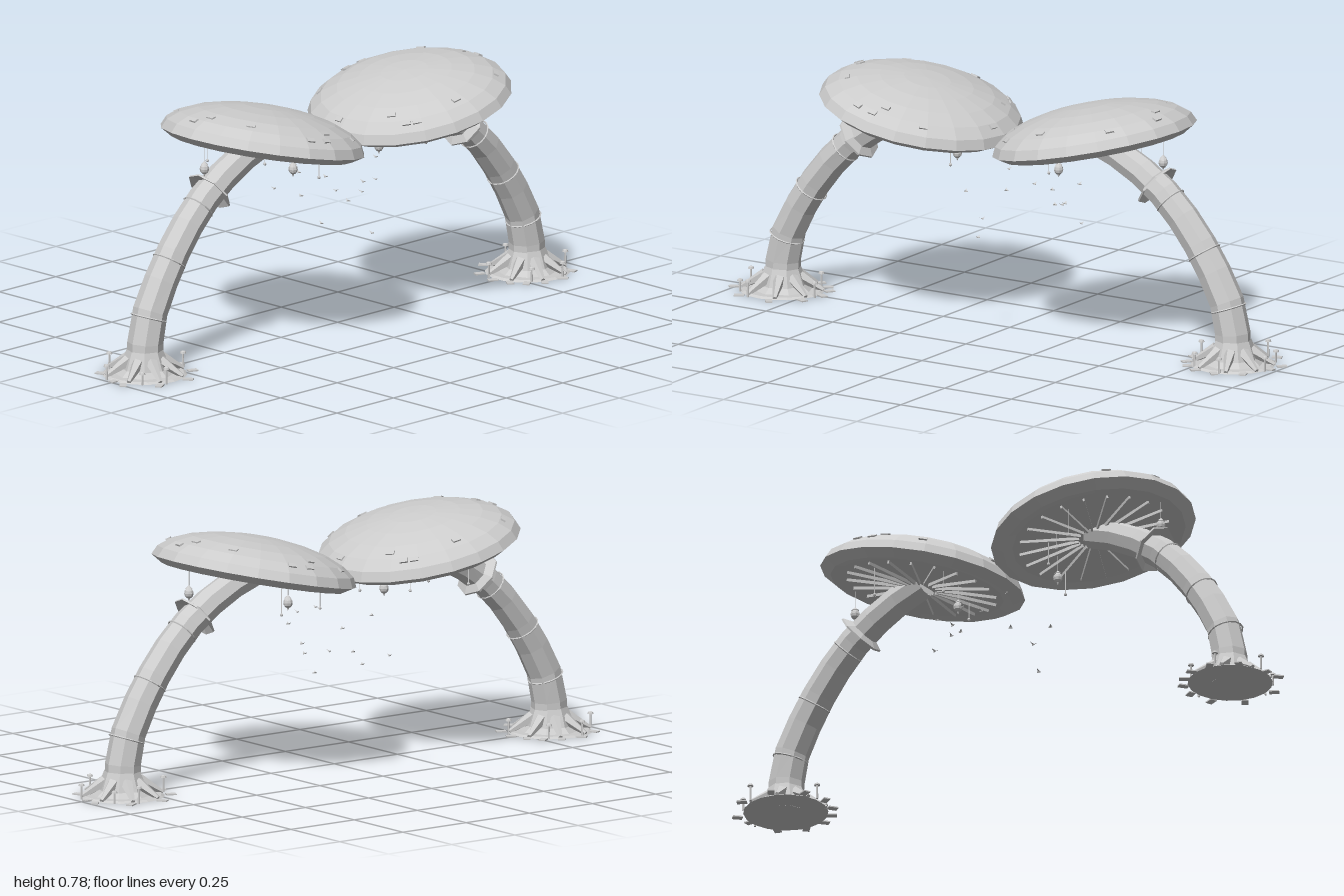
import * as THREE from 'three';

const grey = new THREE.MeshStandardMaterial({ color: 0xcccccc });
grey.name = 'pale grey';
const greyThin = new THREE.MeshStandardMaterial({ color: 0xcccccc, side: THREE.DoubleSide });
greyThin.name = 'pale grey thin';

// Faceted mesh, added to a parent
function add(parent, name, geometry, x = 0, y = 0, z = 0, material = grey) {
  const flat = geometry.index ? geometry.toNonIndexed() : geometry;
  flat.computeVertexNormals();
  const mesh = new THREE.Mesh(flat, material);
  mesh.name = name;
  mesh.position.set(x, y, z);
  parent.add(mesh);
  return mesh;
}
const lathe = (pairs, sides) =>
  new THREE.LatheGeometry(pairs.map(([r, y]) => new THREE.Vector2(r, y)), sides);
const V = (x, y, z = 0) => new THREE.Vector3(x, y, z);
const UP = V(0, 1, 0);
const TILT = 0.21;
const CAP = V(0.325, 0.655);
const BASE_X = 0.846;

// Curved, tapering stalk with bands and a skirt ring
function addStalk(g) {
  const curve = new THREE.CatmullRomCurve3([
    V(BASE_X, 0), V(0.845, 0.08), V(0.828, 0.18), V(0.73, 0.355),
    V(0.64, 0.465), V(0.555, 0.54), V(0.43, 0.612), V(0.32, 0.652)]);
  const rings = 9, sides = 8;
  const radius = t => 0.058 - 0.012 * t;
  const tube = new THREE.TubeGeometry(curve, rings, 1, sides);
  const pos = tube.attributes.position, p = V(0, 0);
  for (let i = 0; i < pos.count; i++) {
    const t = Math.floor(i / (sides + 1)) / rings;
    const c = curve.getPointAt(t);
    p.fromBufferAttribute(pos, i).sub(c).multiplyScalar(radius(t)).add(c);
    pos.setXYZ(i, p.x, p.y, p.z);
  }
  add(g, 'stalk', tube);
  const end = add(g, 'stalkEnd', new THREE.CircleGeometry(radius(1), sides), 0.32, 0.652);
  end.quaternion.setFromUnitVectors(V(0, 0, 1), curve.getTangentAt(1));

  for (const t of [0.2, 0.41, 0.63]) {
    const c = curve.getPointAt(t);
    const band = add(g, 'stalkBand', new THREE.TorusGeometry(radius(t), 0.0028, 4, 16), c.x, c.y);
    band.quaternion.setFromUnitVectors(V(0, 0, 1), curve.getTangentAt(t));
  }
  const ring = add(g, 'skirtRing',
    lathe([[0.045, 0.006], [0.078, -0.006], [0.078, 0], [0.045, 0.014]], 8), 0.557, 0.539);
  ring.material = greyThin;
  ring.quaternion.setFromUnitVectors(UP, V(-0.79, 0.61).normalize());
}

// Tilted cap with gills and raised plates
function addCap(g) {
  const cap = new THREE.Group();
  cap.name = 'cap';
  cap.position.copy(CAP);
  cap.rotation.z = TILT;
  g.add(cap);
  add(cap, 'capShell', lathe([
    [0, -0.012], [0.26, -0.015], [0.29, -0.022], [0.326, 0], [0.312, 0.03], [0.275, 0.058],
    [0.22, 0.081], [0.15, 0.098], [0.075, 0.108], [0, 0.111]], 20));
  for (let i = 0; i < 20; i++) {
    const a = (i + 0.5) * Math.PI / 10;
    const gill = add(cap, 'gill', new THREE.BoxGeometry(0.19, 0.012, 0.006),
      Math.cos(a) * 0.145, -0.018, Math.sin(a) * 0.145);
    gill.rotation.y = -a;
  }
  for (let i = 0; i < 13; i++) {
    const a = i * 2 * Math.PI / 13 + 0.35 * Math.sin(i * 5);
    const far = i % 3 > 0;
    const r = far ? 0.282 : 0.248, y = far ? 0.053 : 0.07;
    const spot = add(cap, 'capPlate', new THREE.BoxGeometry(0.016, 0.006, 0.027),
      Math.cos(a) * r, y, Math.sin(a) * r);
    spot.rotation.set(0, -a, far ? -0.6 : -0.4, 'YXZ');
  }
}

// String dropped from the underside of the cap
function addString(g, x, y, z) {
  const top = CAP.y - 0.012 + (x - CAP.x) * Math.tan(TILT);
  add(g, 'string', new THREE.CylinderGeometry(0.0013, 0.0013, top - y, 4), x, (top + y) / 2, z);
}
function addLantern(g, x, y) {
  addString(g, x, y, 0);
  const body = add(g, 'lantern', new THREE.SphereGeometry(0.015, 8, 6), x, y, 0);
  body.scale.y = 1.15;
  add(g, 'lanternLid', new THREE.ConeGeometry(0.012, 0.012, 8), x, y + 0.02, 0);
  add(g, 'lanternTip', new THREE.ConeGeometry(0.005, 0.012, 6), x, y - 0.02, 0).rotation.x = Math.PI;
}
function addBead(g, [x, y, z]) {
  addString(g, x, y, z);
  add(g, 'bead', new THREE.SphereGeometry(0.0055, 6, 4), x, y, z);
}

// Root flare, roots, ground disc, little mushrooms and stones
function addBase(g) {
  const base = new THREE.Group();
  base.name = 'base';
  base.position.x = BASE_X;
  g.add(base);
  const disc = new THREE.CylinderGeometry(0.124, 0.134, 0.006, 18);
  add(base, 'groundDisc', disc, 0, 0.003, 0);
  add(base, 'rootFlare',
    lathe([[0.1, 0.005], [0.078, 0.022], [0.07, 0.045], [0.057, 0.08]], 8));
  for (let i = 0; i < 8; i++) {
    const a = (i + 0.5) * Math.PI / 4;
    const from = V(0.055, 0.048), to = V(0.13, 0.005);
    const dir = to.clone().sub(from);
    const holder = new THREE.Group();
    holder.name = 'rootHolder';
    holder.rotation.y = a;
    base.add(holder);
    const mid = from.clone().add(to).multiplyScalar(0.5);
    const root = add(holder, 'root',
      new THREE.CylinderGeometry(0.007, 0.02, dir.length(), 5), mid.x, mid.y);
    root.quaternion.setFromUnitVectors(UP, dir.normalize());
  }
  for (const [x, z, h] of [[0.138, 0.03, 0.044], [0.04, -0.137, 0.05], [0.03, 0.127, 0.046],
    [-0.08, 0.1, 0.043], [-0.14, -0.03, 0.046], [0.1, -0.09, 0.035]]) {
    add(base, 'smallStem', new THREE.CylinderGeometry(0.003, 0.004, h, 5), x, h / 2, z);
    add(base, 'smallCap', lathe([[0, 0], [0.01, 0], [0.008, 0.006], [0, 0.009]], 8), x, h - 0.001, z);
  }
  for (let i = 0; i < 11; i++) {
    const a = i * 2 * Math.PI / 11 + 0.3 * Math.sin(i * 7);
    const r = 0.135 + 0.022 * Math.abs(Math.sin(i * 3));
    const stone = add(base, 'flatStone', new THREE.BoxGeometry(0.032, 0.004, 0.022),
      Math.cos(a) * r, 0.002, Math.sin(a) * r);
    stone.rotation.y = -a + Math.sin(i * 4) * 0.6;
  }
}

// Small flying creature: two thin swept wings in a shallow V
function addFlyer(g, x, y, z, turn) {
  const flyer = new THREE.Group();
  flyer.name = 'flyer';
  flyer.position.set(x, y, z);
  flyer.rotation.y = turn;
  g.add(flyer);
  for (const s of [1, -1]) {
    const wing = new THREE.BufferGeometry().setFromPoints([
      V(0.005, -0.003, 0), V(-0.003, 0.003, s * 0.013), V(-0.006, -0.003, 0)]);
    add(flyer, 'wing', wing, 0, 0, 0, greyThin);
  }
  add(flyer, 'flyerBody', new THREE.BoxGeometry(0.012, 0.003, 0.003), 0, -0.003, 0);
}

export function createModel() {
  const model = new THREE.Group();
  model.name = 'twinMushroomArch';
  const beads = [
    [[0.25, 0.565, 0.147], [0.16, 0.535, -0.125], [0.37, 0.55, -0.2]],
    [[0.27, 0.57, 0.125], [0.16, 0.52, -0.085], [0.22, 0.54, 0.095], [0.37, 0.56, 0.2]]];
  beads.forEach((list, i) => {
    const side = new THREE.Group();
    side.name = i ? 'rightMushroom' : 'leftMushroom';
    side.position.x = -0.007;
    side.rotation.y = i * Math.PI;
    model.add(side);
    addStalk(side);
    addCap(side);
    addBase(side);
    addLantern(side, 0.582, 0.614);
    addLantern(side, 0.19, 0.536);
    list.forEach(b => addBead(side, b));
  });
  [[-0.01, 0.327, 0.165], [0.18, 0.335, -0.133], [0.055, 0.36, -0.215], [-0.015, 0.388, -0.265],
    [0.1, 0.39, -0.106], [0.17, 0.415, -0.055], [-0.09, 0.345, 0.02], [0.035, 0.452, -0.087],
    [-0.055, 0.47, 0.165], [0.06, 0.477, 0.11], [0.225, 0.485, -0.055], [-0.07, 0.483, -0.1]]
    .forEach(([x, y, z], i) => addFlyer(model, x, y, z, Math.sin(i * 5) * 0.5));
  return model;
}
